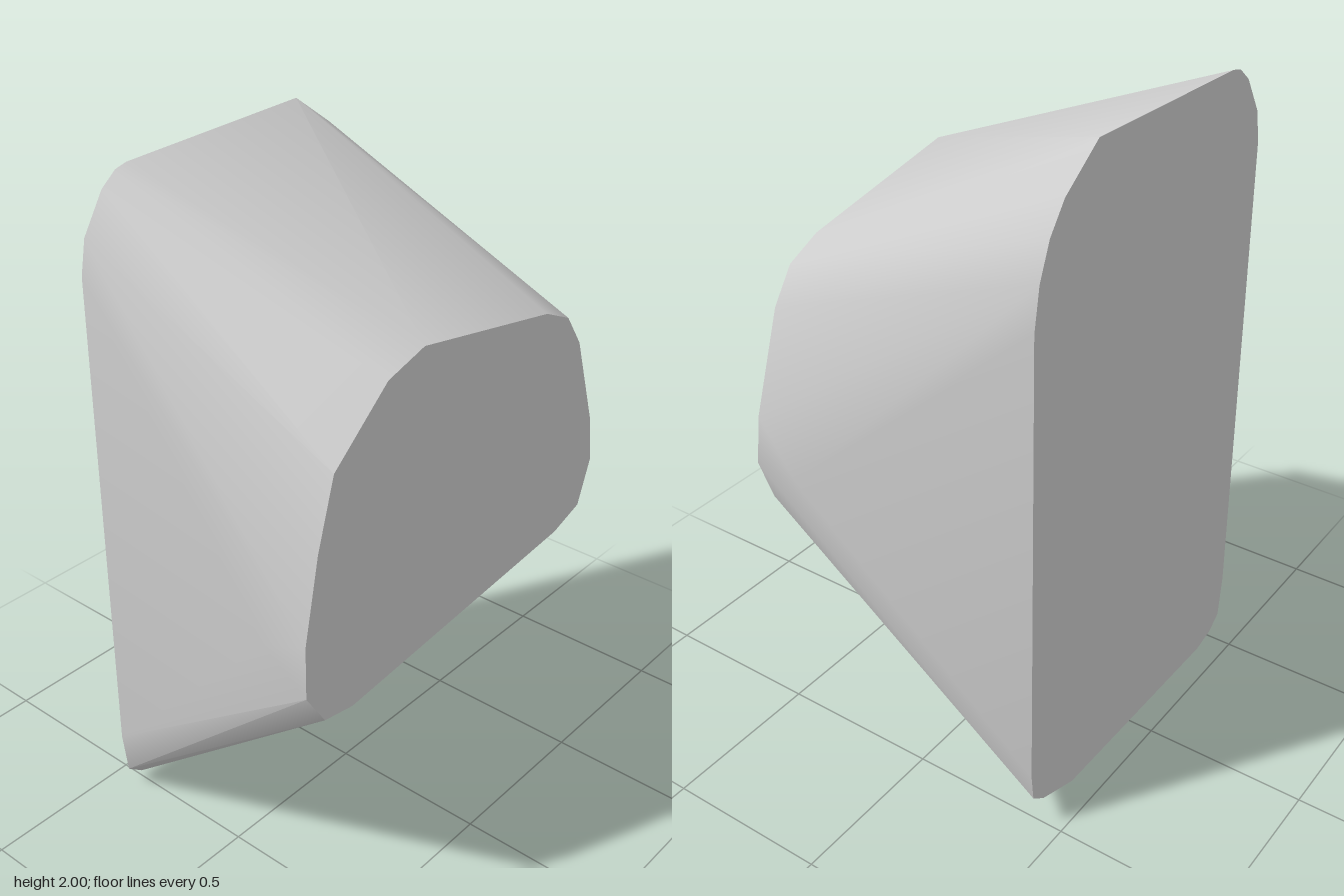
import * as THREE from 'three';
import { ConvexGeometry } from 'three/addons/geometries/ConvexGeometry.js';
import { toCreasedNormals } from 'three/addons/utils/BufferGeometryUtils.js';

// Outlines of the two end faces as [z, y]
const largeEnd = [
  [-0.28, 2.0], [0.37, 1.98], [0.41, 1.97], [0.46, 1.93], [0.53, 1.82], [0.55, 1.72],
  [0.565, 0.2], [0.55, 0.06], [0.5, 0.02], [0.42, 0.0],
  [-0.33, 0.015], [-0.48, 0.07], [-0.53, 0.11], [-0.54, 0.2],
  [-0.54, 1.6], [-0.52, 1.72], [-0.48, 1.82], [-0.42, 1.9],
];
const smallEnd = [
  [0.2, 1.66], [0.34, 1.62], [0.54, 1.45], [0.6, 1.25], [0.65, 1.0], [0.65, 0.84],
  [0.58, 0.73], [0.47, 0.71], [-0.47, 0.8], [-0.59, 0.84], [-0.64, 0.98],
  [-0.62, 1.12], [-0.52, 1.41], [-0.45, 1.51], [-0.34, 1.56],
];
// Slight bulge on both flanks just behind the small end
const flankBulge = [[0.65, 0.94], [-0.65, 0.98]];

const section = (x, outline) => outline.map(([z, y]) => new THREE.Vector3(x, y, z));

export function createModel() {
  const group = new THREE.Group();
  group.name = 'taperedBlock';

  const grey = new THREE.MeshStandardMaterial({ color: 0xcccccc });
  grey.name = 'light grey';

  // Convex skin around the sections, smooth around the flanks and sharp at the ends
  const hull = new ConvexGeometry([
    ...section(-0.425, largeEnd),
    ...section(0.28, flankBulge),
    ...section(0.425, smallEnd),
  ]);
  const body = new THREE.Mesh(toCreasedNormals(hull, 0.6), grey);
  body.name = 'body';
  group.add(body);
  return group;
}
